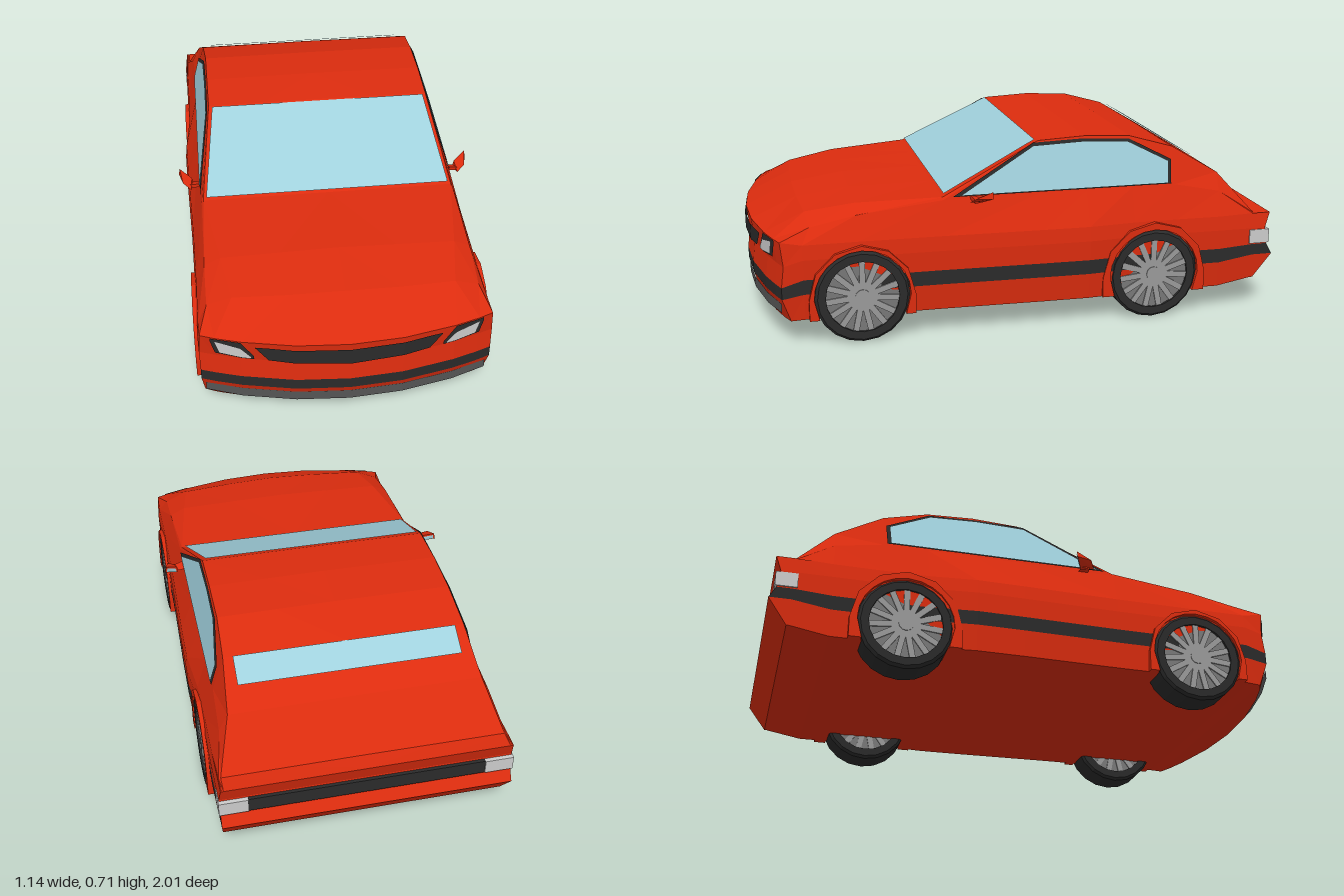
import * as THREE from 'three';
import { ConvexGeometry } from 'three/addons/geometries/ConvexGeometry.js';

const mat = (color, side = THREE.FrontSide) => new THREE.MeshStandardMaterial({ color, side, flatShading: true });
const RED = mat(0xdc2c0e), DARK = mat(0x2a2a2a), GREY = mat(0x999999);
const GLASS = mat(0xa0d0dc, THREE.DoubleSide), TRIM = mat(0x2a2a2a, THREE.DoubleSide);
const VENT = mat(0x555555, THREE.DoubleSide), LAMP = mat(0xcccccc, THREE.DoubleSide);

export function createModel() {
  const car = new THREE.Group();
  const add = (name, geo, material, parent = car) => {
    const mesh = new THREE.Mesh(geo, material);
    mesh.name = name;
    parent.add(mesh);
    return mesh;
  };

  // Quad grid on the +x side plus its mirror image
  function mirroredGrid(rows, from = 0, to = rows[0].length - 1) {
    const pos = [];
    for (const s of [1, -1])
      for (let i = 0; i < rows.length - 1; i++)
        for (let j = from; j < to; j++) {
          const q = [rows[i][j], rows[i][j + 1], rows[i + 1][j + 1], rows[i + 1][j]];
          const order = s > 0 ? [0, 1, 2, 0, 2, 3] : [2, 1, 0, 3, 2, 0];
          for (const k of order) pos.push(q[k][0] * s, q[k][1], q[k][2]);
        }
    return finish(pos);
  }
  function finish(pos) {
    const g = new THREE.BufferGeometry();
    g.setAttribute('position', new THREE.Float32BufferAttribute(pos, 3));
    g.computeVertexNormals();
    return g;
  }
  const fan = (pts) => {
    const pos = [];
    for (let i = 1; i < pts.length - 1; i++) pos.push(...pts[0], ...pts[i], ...pts[i + 1]);
    return finish(pos);
  };

  // Stations front to back: z, side half width, belt x/y, top edge x/y, centre y
  const stations = [
    [1.0, 0.525, 0.47, 0.4, 0.38, 0.4, 0.4],
    [0.82, 0.528, 0.49, 0.44, 0.4, 0.475, 0.485],
    [0.62, 0.528, 0.49, 0.475, 0.43, 0.505, 0.515],
    [0.3, 0.532, 0.487, 0.51, 0.48, 0.52, 0.52],
    [-0.07, 0.543, 0.487, 0.515, 0.437, 0.703, 0.705],
    [-0.25, 0.546, 0.487, 0.515, 0.437, 0.712, 0.715],
    [-0.43, 0.53, 0.487, 0.515, 0.437, 0.703, 0.705],
    [-0.6, 0.528, 0.487, 0.515, 0.445, 0.655, 0.658],
    [-0.78, 0.53, 0.495, 0.48, 0.462, 0.548, 0.55],
    [-0.92, 0.53, 0.522, 0.385, 0.515, 0.39, 0.392],
    [-0.985, 0.53, 0.522, 0.39, 0.515, 0.39, 0.39],
  ];
  const last = stations.length - 1;
  const noseX = [0, 0.19, 0.38, 0.47, 0.525];
  const bow = (x) => 1 - 0.1 * (x / 0.525) ** 2;
  // Nose depth, straight between the nose columns
  const noseZ = (x) => {
    const a = Math.abs(x);
    let i = 0;
    while (i < 3 && a > noseX[i + 1]) i++;
    const t = (a - noseX[i]) / (noseX[i + 1] - noseX[i]);
    return bow(noseX[i]) * (1 - t) + bow(noseX[i + 1]) * t;
  };

  // Lower body: outlines stacked in height, running nose centre - side - tail centre
  const outline = ([yFront, yMid, yRear, dx, dz, zRear]) => {
    const pts = noseX.map((x) => [x === 0.525 ? x + dx : x, yFront, bow(x) + dz]);
    for (let i = 1; i <= last; i++)
      pts.push([stations[i][1] + dx, i >= last - 1 ? yRear : yMid, i === last ? zRear : stations[i][0]]);
    pts.push([0, yRear, zRear]);
    return pts;
  };
  const rings = [
    [0.097, 0.1, 0.125, -0.01, -0.03, -0.93],
    [0.185, 0.2, 0.222, 0, 0, -1.0],
    [0.23, 0.255, 0.265, 0, 0, -0.975],
    [0.31, 0.33, 0.33, 0.002, -0.01, -0.965],
    [0.4, 0.385, 0.39, -0.004, 0, -0.985],
  ].map(outline);
  const end = rings[0].length - 1;
  add('floor', mirroredGrid([rings[0].map((p) => [0, p[1], p[2]]), rings[0]]), RED);
  add('lowerBody', mirroredGrid(rings.slice(0, 2)), RED);
  add('sideStripe', mirroredGrid(rings.slice(1, 3), 0, end - 1), DARK);
  add('rearBumper', mirroredGrid(rings.slice(1, 3), end - 1, end), RED);
  add('upperSides', mirroredGrid(rings.slice(2)), RED);

  // Bonnet, cabin and boot: rows from shoulder to centre line
  const upper = [0, 1, 2, 3, 4].map((c) => stations.map(([z, , bx, by, tx, ty, cy], i) => {
    if (c === 0) return rings[4][4 + i];
    const x = [0, bx, tx, tx / 2, 0][c];
    const y = [0, by, ty, (ty + cy) / 2, cy][c];
    const bend = i === 0 ? bow(x) - 1 : i === 1 ? -0.03 * (x / 0.5) ** 2 : 0;
    return [x, y, z + bend];
  }));
  add('upperBody', mirroredGrid(upper), RED);

  // Windows
  add('windscreen', fan([[0.468, 0.53, 0.295], [-0.468, 0.53, 0.295], [-0.423, 0.705, -0.06], [0.423, 0.705, -0.06]]), GLASS);
  add('rearWindow', fan([[0.41, 0.66, -0.605], [-0.41, 0.66, -0.605], [-0.41, 0.605, -0.7], [0.41, 0.605, -0.7]]), GLASS);
  const sidePane = [[0.23, 0.525], [-0.05, 0.685], [-0.24, 0.692], [-0.42, 0.683], [-0.575, 0.605], [-0.57, 0.525]];
  const sideFrame = [[0.265, 0.52], [-0.05, 0.697], [-0.24, 0.703], [-0.425, 0.694], [-0.59, 0.61], [-0.585, 0.52]];
  for (const s of [1, -1]) {
    const place = (list, off) => list.map(([z, y]) => [s * (0.487 - 0.27 * (y - 0.52) + off), y, z]);
    add('sideWindowFrame', fan(place(sideFrame, 0.004)), TRIM);
    add('sideWindow', fan(place(sidePane, 0.007)), GLASS);
  }

  // Strips that follow the nose: [x, top y, bottom y]
  function noseStrip(name, pts, off, material) {
    const pos = [];
    for (let i = 0; i < pts.length - 1; i++) {
      const [a, b] = [pts[i], pts[i + 1]];
      const P = (p, k) => [p[0], p[k], noseZ(p[0]) + off];
      pos.push(...P(a, 2), ...P(b, 2), ...P(b, 1), ...P(a, 2), ...P(b, 1), ...P(a, 1));
    }
    add(name, finish(pos), material);
  }
  const both = (half) => [...half.slice(1).reverse().map(([x, t, b]) => [-x, t, b]), ...half];
  noseStrip('grille', both([[0, 0.378, 0.31], [0.19, 0.38, 0.318], [0.285, 0.383, 0.325], [0.33, 0.383, 0.38]]), 0.005, TRIM);
  noseStrip('lowerVent', both([[0, 0.165, 0.125], [0.19, 0.165, 0.125], [0.38, 0.165, 0.125], [0.51, 0.165, 0.13]]), -0.004, VENT);
  for (const s of [1, -1]) {
    noseStrip('headlightSurround', [[0.335, 0.338, 0.325], [0.38, 0.4, 0.327], [0.47, 0.4, 0.335], [0.485, 0.4, 0.385]].map(([x, t, b]) => [x * s, t, b]), 0.004, TRIM);
    noseStrip('headlight', [[0.345, 0.338, 0.33], [0.38, 0.375, 0.332], [0.455, 0.39, 0.34], [0.47, 0.392, 0.388]].map(([x, t, b]) => [x * s, t, b]), 0.008, LAMP);
  }

  // Tail panel and lights
  add('tailPanel', new THREE.BoxGeometry(0.86, 0.055, 0.02), DARK).position.set(0, 0.297, -0.969);
  for (const s of [1, -1])
    add('tailLight', new THREE.BoxGeometry(0.105, 0.055, 0.08), LAMP).position.set(s * 0.483, 0.297, -0.942);

  // Door mirrors
  for (const s of [1, -1]) {
    const hull = (pts) => new ConvexGeometry(pts.map(([x, y, z]) => new THREE.Vector3(x * s, y, z)));
    add('mirrorStalk', hull([[0.48, 0.51, 0.2], [0.48, 0.525, 0.2], [0.48, 0.51, 0.16], [0.53, 0.5, 0.19], [0.53, 0.515, 0.19], [0.53, 0.505, 0.16]]), RED);
    add('mirrorHousing', hull([[0.515, 0.5, 0.16], [0.52, 0.525, 0.16], [0.565, 0.55, 0.13], [0.57, 0.525, 0.13], [0.525, 0.505, 0.21], [0.555, 0.525, 0.19]]), RED);
    add('mirrorGlass', fan([[0.522, 0.504, 0.154], [0.525, 0.522, 0.154], [0.56, 0.543, 0.13], [0.563, 0.526, 0.13]].map(([x, y, z]) => [x * s, y, z])), GLASS);
  }

  // Wheels and arches
  const tyreProfile = [[0.135, -0.062], [0.165, -0.062], [0.175, -0.052], [0.175, 0.052], [0.165, 0.062], [0.135, 0.062], [0.135, -0.062]]
    .map(([r, y]) => new THREE.Vector2(r, y));
  const tyreGeo = new THREE.LatheGeometry(tyreProfile, 20).rotateZ(Math.PI / 2);
  const rimGeo = new THREE.CylinderGeometry(0.137, 0.137, 0.104, 20).rotateZ(Math.PI / 2);
  const hubGeo = new THREE.CylinderGeometry(0.028, 0.028, 0.12, 12).rotateZ(Math.PI / 2);
  const spokeGeo = new THREE.BoxGeometry(0.114, 0.108, 0.022).translate(0, 0.08, 0);
  const DISC = mat(0x777777);
  for (const [z, r] of [[0.61, 0.195], [-0.51, 0.205]]) {
    const shape = new THREE.Shape();
    shape.moveTo(r, 0.1);
    for (let i = 0; i <= 6; i++) {
      const a = (i / 6) * Math.PI;
      shape.lineTo(r * Math.cos(a), 0.178 + r * Math.sin(a));
    }
    shape.lineTo(-r, 0.1);
    shape.lineTo(-0.158, 0.1);
    for (let i = 12; i >= 0; i--) {
      const a = (i / 12) * Math.PI;
      shape.lineTo(0.177 * Math.cos(a), 0.178 + 0.177 * Math.sin(a));
    }
    shape.lineTo(0.158, 0.1);
    const archGeo = new THREE.ExtrudeGeometry(shape, { depth: 0.04, bevelEnabled: false }).rotateY(-Math.PI / 2);
    for (const s of [1, -1]) {
      add('wheelArch', archGeo, RED).position.set(s > 0 ? 0.543 : -0.503, 0, z);
      const wheel = new THREE.Group();
      wheel.name = 'wheel';
      wheel.position.set(s * 0.477, 0.177, z);
      car.add(wheel);
      add('tyre', tyreGeo, DARK, wheel);
      add('rim', rimGeo, DISC, wheel);
      add('hub', hubGeo, GREY, wheel);
      for (let i = 0; i < 15; i++) add('spoke', spokeGeo, GREY, wheel).rotation.x = (i / 15) * Math.PI * 2;
    }
  }
  return car;
}
